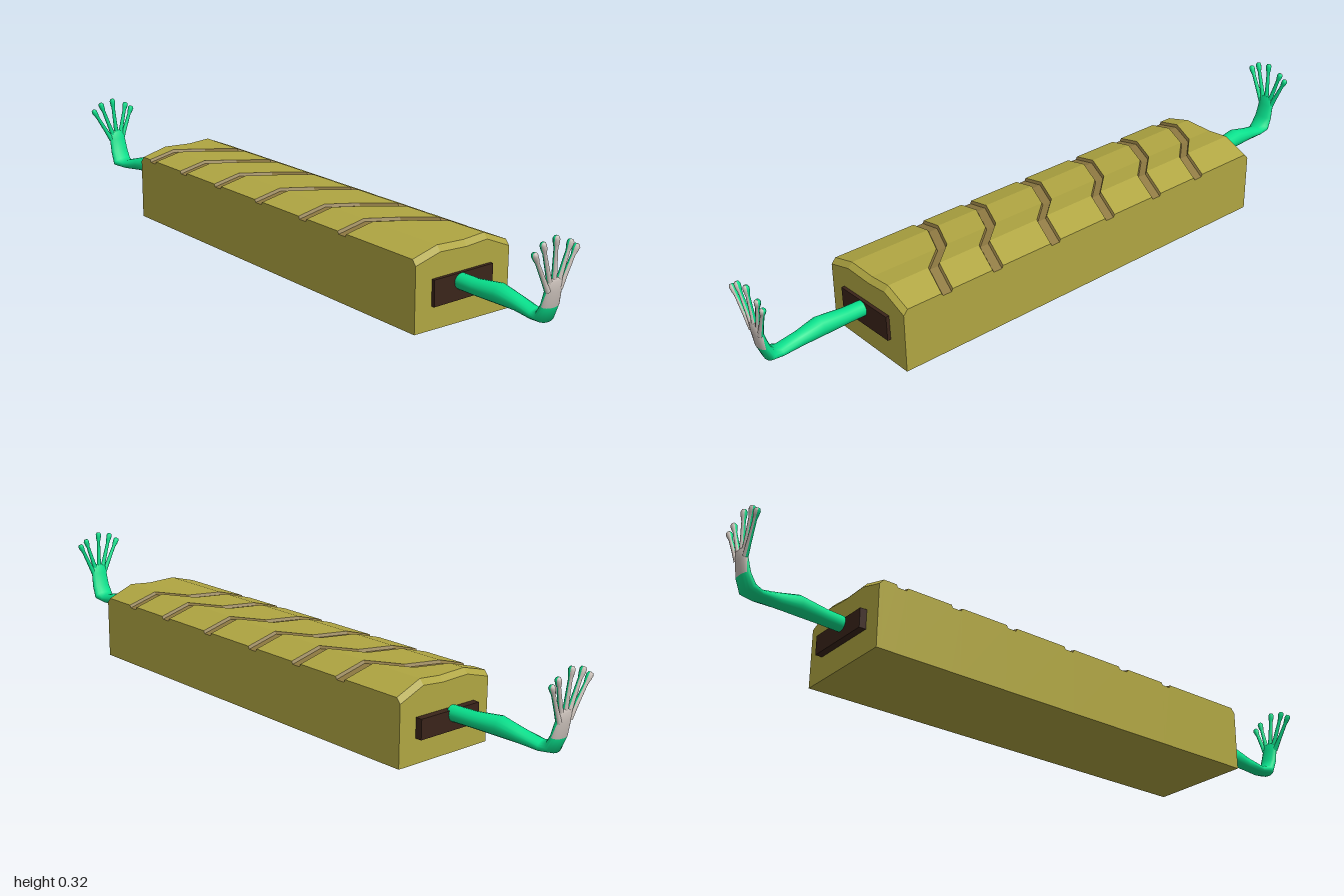
import * as THREE from 'three';

const material = (color, flatShading = false) => new THREE.MeshStandardMaterial({ color, flatShading });
const COLORS = { body: 0xb0a642, groove: 0x8f7a42, plate: 0x3a241a, skin: 0x08e08c, pale: 0xcfc5be };

function addMesh(parent, name, geometry, mat) {
  const mesh = new THREE.Mesh(geometry, mat);
  mesh.name = name;
  parent.add(mesh);
  return mesh;
}

// Loaf body: rows run around the cross-section, columns run along x and dip at every groove
function createLoaf() {
  const group = new THREE.Group();
  group.name = 'loaf';
  // Each row: z, y, sideways shift of the grooves
  const rows = [
    [0.16, 0, 0], [0.16, 0.195, 0], [0.08, 0.217, 0.01], [-0.01, 0.214, 0.05],
    [-0.08, 0.22, 0.13], [-0.16, 0.187, 0.15], [-0.16, 0, 0.15],
  ];
  // Each column: x, drop of the top surface, whether grooves shift it
  const columns = [[-0.645, 0.015, 0], [-0.632, 0, 0]];
  for (const x of [-0.575, -0.4, -0.215, -0.01, 0.195, 0.365]) {
    columns.push([x - 0.018, 0, 1], [x - 0.014, 0.008, 1], [x + 0.014, 0.008, 1], [x + 0.018, 0, 1]);
  }
  columns.push([0.642, 0, 0], [0.655, 0.015, 0]);

  const point = (c, r) => {
    const [x, drop, shifted] = columns[c];
    const [z, y, shift] = rows[r % rows.length];
    return [x + shifted * shift, y > 0 ? y - drop : 0, z];
  };
  const faces = { body: [], groove: [] };
  const triangle = (list, a, b, c) => list.push(...a, ...b, ...c);

  for (let c = 0; c < columns.length - 1; c++) {
    const inGroove = columns[c][2] && columns[c + 1][2] && (c - 2) % 4 !== 3;
    for (let r = 0; r < rows.length; r++) {
      const onTop = r > 0 && r < 5;
      const list = inGroove && onTop ? faces.groove : faces.body;
      const a = point(c, r), b = point(c + 1, r), d = point(c + 1, r + 1), e = point(c, r + 1);
      triangle(list, a, b, d);
      triangle(list, a, d, e);
    }
  }
  // End walls
  const last = columns.length - 1;
  for (let r = 1; r < rows.length - 1; r++) {
    triangle(faces.body, point(0, 0), point(0, r), point(0, r + 1));
    triangle(faces.body, point(last, 0), point(last, r + 1), point(last, r));
  }
  for (const [key, name] of [['body', 'loafCrust'], ['groove', 'crustGrooves']]) {
    const geometry = new THREE.BufferGeometry();
    geometry.setAttribute('position', new THREE.Float32BufferAttribute(faces[key], 3));
    geometry.computeVertexNormals();
    addMesh(group, name, geometry, material(COLORS[key], true));
  }
  return group;
}

// Smooth skin over elliptical rings: [x, y, z, radius in depth, radius in width]
function loft(rings, sides) {
  const positions = [], index = [];
  const centers = rings.map(([x, y, z]) => new THREE.Vector3(x, y, z));
  const zAxis = new THREE.Vector3(0, 0, 1);
  rings.forEach((ring, i) => {
    const before = centers[Math.max(i - 1, 0)], after = centers[Math.min(i + 1, rings.length - 1)];
    const t = after.clone().sub(before).normalize();
    const u = zAxis.clone().cross(t).normalize();
    const v = t.clone().cross(u);
    for (let j = 0; j < sides; j++) {
      const angle = (j / sides) * Math.PI * 2;
      const p = centers[i].clone()
        .addScaledVector(u, Math.cos(angle) * ring[3])
        .addScaledVector(v, Math.sin(angle) * ring[4]);
      positions.push(p.x, p.y, p.z);
    }
  });
  for (let i = 0; i < rings.length - 1; i++) {
    for (let j = 0; j < sides; j++) {
      const k = (j + 1) % sides;
      const a = i * sides + j, b = i * sides + k, c = a + sides, d = b + sides;
      index.push(a, b, d, a, d, c);
    }
  }
  const geometry = new THREE.BufferGeometry();
  geometry.setAttribute('position', new THREE.Float32BufferAttribute(positions, 3));
  geometry.setIndex(index);
  geometry.computeVertexNormals();
  return geometry;
}

// Split a skin so that the outward-facing side of the hand is pale
function addSkin(parent, name, geometry, side) {
  const p = geometry.attributes.position, n = geometry.attributes.normal, ix = geometry.index.array;
  const skin = [], pale = [];
  for (let i = 0; i < ix.length; i += 3) {
    const tri = [ix[i], ix[i + 1], ix[i + 2]];
    const out = tri.reduce((s, k) => s + n.getX(k) * side / 3, 0);
    const height = tri.reduce((s, k) => s + p.getY(k) / 3, 0);
    (out > 0.3 && height > 0.13 ? pale : skin).push(...tri);
  }
  for (const [list, color, suffix] of [[skin, COLORS.skin, ''], [pale, COLORS.pale, 'Pad']]) {
    const part = geometry.clone();
    part.setIndex(list);
    addMesh(parent, name + suffix, part, material(color));
  }
}

// Arm with a raised, splayed five-fingered hand
function createArm(side) {
  const group = new THREE.Group();
  group.name = side > 0 ? 'leftArm' : 'rightArm';
  // The right arm leans a little further forward and sits slightly lower
  const place = ([x, y, z, a, b]) => {
    if (side > 0) return [x, y, z, a, b];
    const reach = THREE.MathUtils.clamp((x - 0.65) / 0.3, 0, 1);
    return [-(x + 0.005), y - 0.008 * reach, z + 0.04 * reach, a, b];
  };
  const limb = [
    [0.65, 0.115, 0.015, 0.022, 0.022], [0.72, 0.115, 0.015, 0.022, 0.024],
    [0.8, 0.12, 0.012, 0.027, 0.028], [0.86, 0.112, 0.01, 0.02, 0.023],
    [0.92, 0.103, 0.012, 0.014, 0.025], [0.95, 0.108, 0.014, 0.018, 0.032],
    [0.965, 0.14, 0.014, 0.014, 0.03], [0.974, 0.18, 0.015, 0.011, 0.028],
    [0.978, 0.205, 0.016, 0.009, 0.025], [0.979, 0.212, 0.016, 0.001, 0.003],
  ];
  addSkin(group, 'limb', loft(limb.map(place), 16), side);

  // Fingers: base z, tip z, tip y
  const fingers = [
    [0.036, 0.097, 0.288], [0.028, 0.069, 0.308], [0.016, 0.024, 0.317],
    [0.004, -0.027, 0.299], [-0.004, -0.049, 0.284],
  ];
  // Profile along a finger: fraction of length, radius
  const profile = [[0, 0.008], [0.3, 0.0065], [0.75, 0.0055], [0.85, 0.008], [0.94, 0.009], [0.99, 0.006], [1, 0.0005]];
  fingers.forEach(([z0, z1, y1], i) => {
    const y0 = i === 0 || i === 4 ? 0.18 : 0.19;
    const rings = profile.map(([f, r]) => place([
      0.976 + 0.009 * f, y0 + (y1 - y0) * f, z0 + (z1 - z0) * f, r, r,
    ]));
    addSkin(group, 'finger' + (i + 1), loft(rings, 10), side);
  });
  return group;
}

export function createModel() {
  const model = new THREE.Group();
  model.name = 'loafWithArms';
  model.add(createLoaf());

  // Dark shoulder plates on the end walls
  const plate = material(COLORS.plate, true);
  const left = addMesh(model, 'leftShoulderPlate', new THREE.BoxGeometry(0.03, 0.072, 0.2), plate);
  left.position.set(0.65, 0.102, 0.005);
  left.rotation.x = 0.02;
  const right = addMesh(model, 'rightShoulderPlate', new THREE.BoxGeometry(0.04, 0.056, 0.21), plate);
  right.position.set(-0.645, 0.098, 0.002);

  model.add(createArm(1), createArm(-1));
  return model;
}
